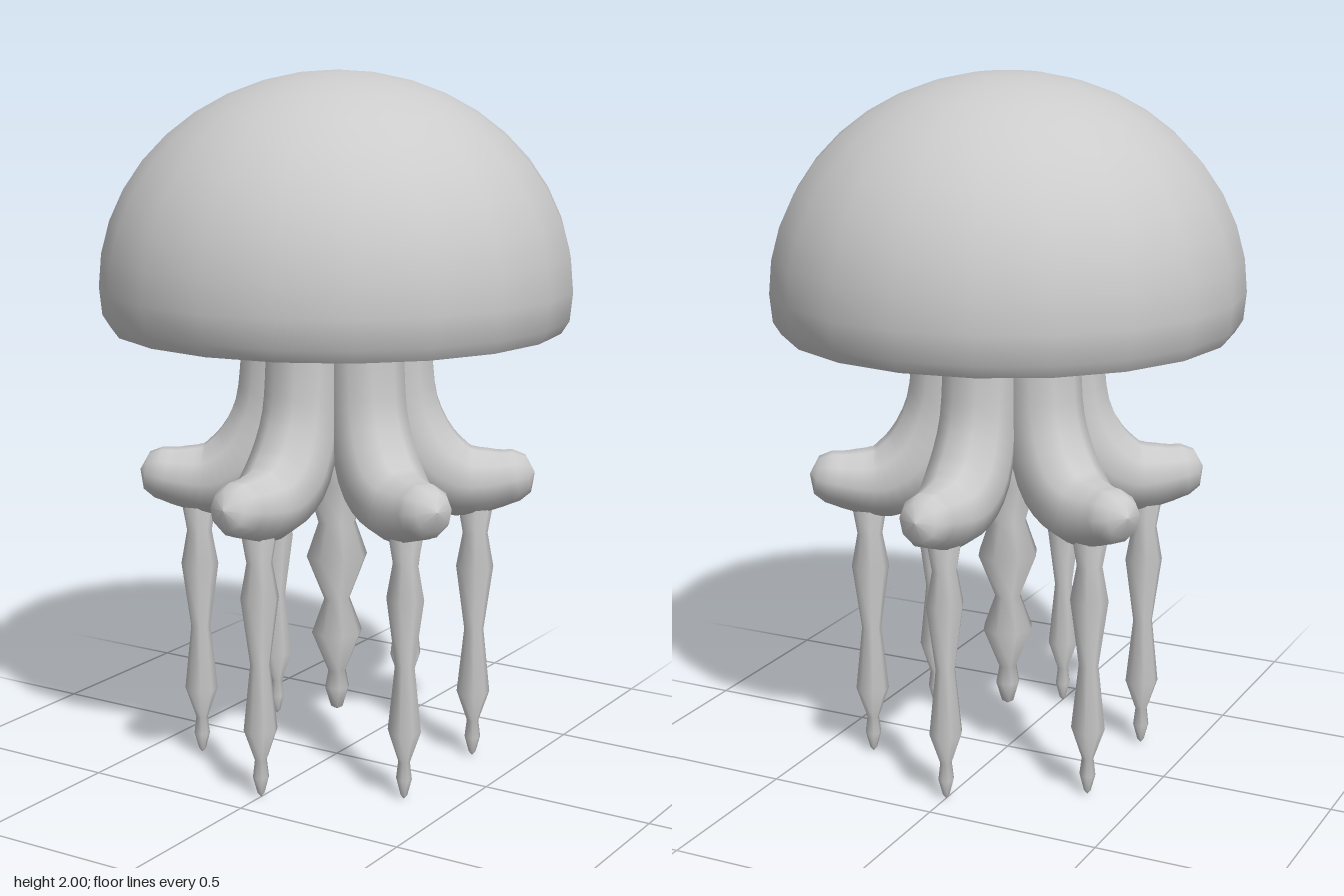
import * as THREE from 'three';
import { toCreasedNormals } from 'three/addons/utils/BufferGeometryUtils.js';

const ARMS = 6;
const material = new THREE.MeshStandardMaterial({ color: 0xcccccc, side: THREE.DoubleSide });

const mesh = (name, geometry) => {
  const m = new THREE.Mesh(geometry, material);
  m.name = name;
  return m;
};

const lathe = (points, sides) =>
  new THREE.LatheGeometry(points.map(([r, y]) => new THREE.Vector2(r, y)), sides);

// Thin dome: underside ceiling, collar, inner wall, rim, then the outer skin
function bellGeometry() {
  const profile = [
    [0, 1.68], [0.30, 1.66], [0.31, 1.36], [0.335, 1.35], [0.34, 1.50], [0.36, 1.72],
    [0.45, 1.72], [0.56, 1.60], [0.625, 1.45], [0.63, 1.36], [0.625, 1.285],
    [0.64, 1.285], [0.662, 1.32],
  ];
  const rings = 10;
  for (let i = 0; i <= rings; i++) {
    const a = (i / rings) * Math.PI / 2;
    profile.push([0.67 * Math.cos(a), 1.40 + 0.6 * Math.sin(a)]);
  }
  return toCreasedNormals(lathe(profile, 20), 0.8);
}

// Swept arm lying in the yz plane; each station is [z, y, radius]
function armGeometry(sides = 10, steps = 22) {
  const stations = [
    [0.165, 1.67, 0.11], [0.165, 1.40, 0.11], [0.167, 1.20, 0.11], [0.19, 1.03, 0.112],
    [0.26, 0.895, 0.118], [0.35, 0.84, 0.108], [0.44, 0.84, 0.09], [0.515, 0.852, 0.075],
  ];
  const path = new THREE.CatmullRomCurve3(stations.map(([z, y]) => new THREE.Vector3(0, y, z)));
  const radii = new THREE.SplineCurve(stations.map(([, , r], i) => new THREE.Vector2(i, r)));
  const positions = [], indices = [];
  const side = new THREE.Vector3(1, 0, 0);

  const addRing = (centre, tangent, radius) => {
    const normal = new THREE.Vector3().crossVectors(tangent, side);
    for (let j = 0; j < sides; j++) {
      const a = (j / sides) * Math.PI * 2;
      const p = centre.clone()
        .addScaledVector(side, radius * Math.cos(a))
        .addScaledVector(normal, radius * Math.sin(a));
      positions.push(p.x, p.y, p.z);
    }
  };
  for (let i = 0; i <= steps; i++) {
    const t = i / steps;
    addRing(path.getPoint(t), path.getTangent(t), radii.getPoint(t).y);
  }
  // Blunt rounded tip
  const end = path.getPoint(1), dir = path.getTangent(1);
  addRing(end.clone().addScaledVector(dir, 0.035), dir, 0.055);
  addRing(end.clone().addScaledVector(dir, 0.054), dir, 0.001);

  for (let i = 0; i < steps + 2; i++) {
    for (let j = 0; j < sides; j++) {
      const k = (j + 1) % sides;
      const a = i * sides + j, b = i * sides + k;
      indices.push(a, b, a + sides, b, b + sides, a + sides);
    }
  }
  const geometry = new THREE.BufferGeometry();
  geometry.setAttribute('position', new THREE.Float32BufferAttribute(positions, 3));
  geometry.setIndex(indices);
  geometry.computeVertexNormals();
  return geometry;
}

export function createModel() {
  const model = new THREE.Group();
  model.name = 'jellyfish';
  model.add(mesh('bell', bellGeometry()));

  // Beaded tentacle profiles, tip to root
  const outerTentacle = lathe([
    [0, 0], [0.01, 0.012], [0.023, 0.06], [0.017, 0.11], [0.048, 0.20], [0.028, 0.39],
    [0.054, 0.58], [0.036, 0.68], [0.05, 0.76], [0.03, 0.82], [0, 0.83],
  ], 8);
  const centralTentacle = lathe([
    [0, 0.14], [0.018, 0.15], [0.036, 0.21], [0.026, 0.26], [0.075, 0.38], [0.038, 0.48],
    [0.09, 0.61], [0.055, 0.71], [0.09, 0.83], [0.09, 1.0], [0.06, 1.1], [0, 1.12],
  ], 8);
  const arm = armGeometry();

  // Six arms around the axis, each with a hanging tentacle
  for (let i = 0; i < ARMS; i++) {
    const limb = new THREE.Group();
    limb.name = `limb${i + 1}`;
    const tentacle = mesh('tentacle', outerTentacle);
    tentacle.position.z = 0.4;
    limb.add(mesh('arm', arm), tentacle);
    limb.rotation.y = (i / ARMS) * Math.PI * 2;
    model.add(limb);
  }
  model.add(mesh('centralTentacle', centralTentacle));
  return model;
}
